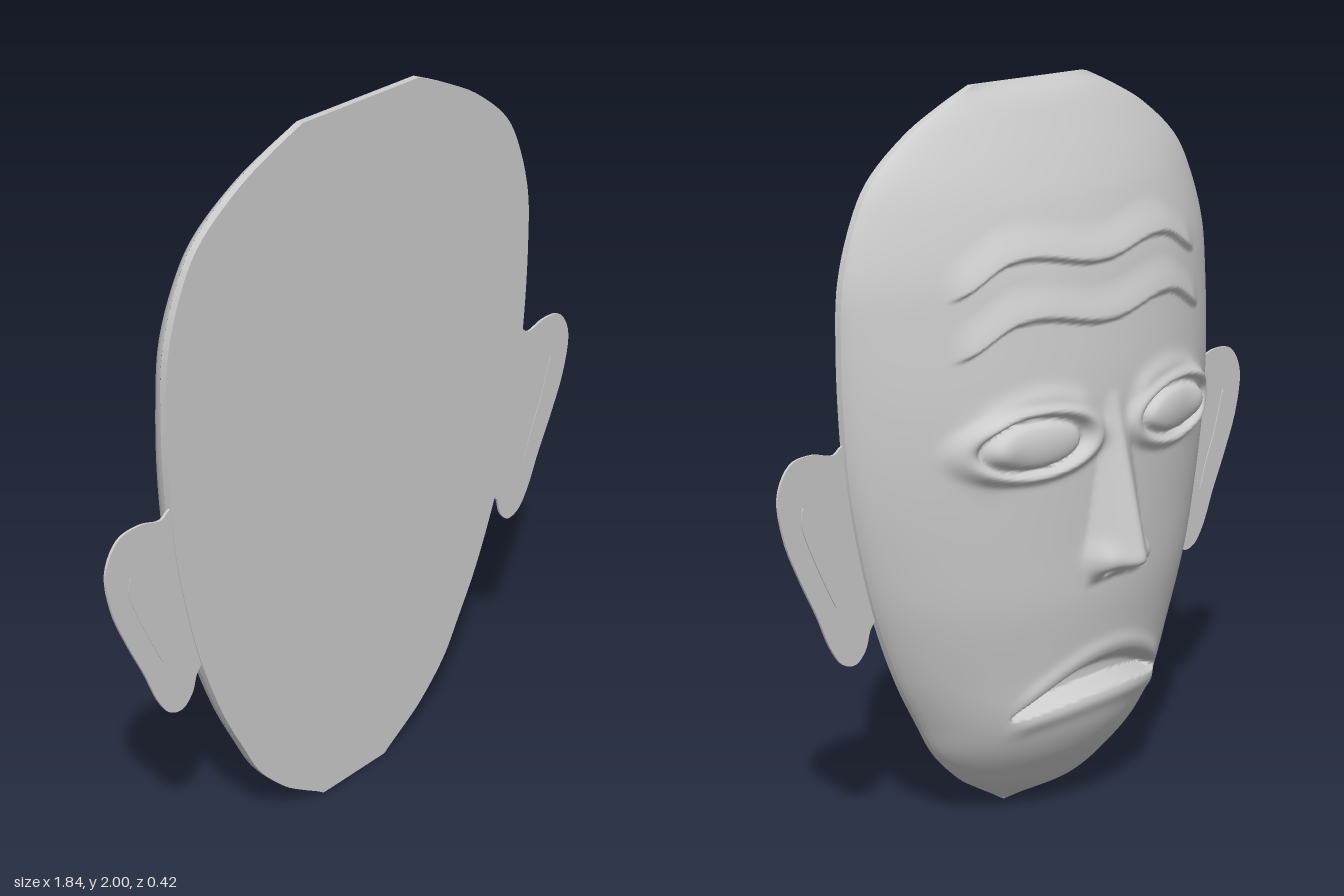
import * as THREE from 'three';

// Half width and centre-line z of the mask at each height: [y, halfWidth, z]
const PROFILE = [
  [0, 0.13, 0.19], [0.02, 0.16, 0.15], [0.05, 0.21, 0.1], [0.1, 0.285, 0.05], [0.2, 0.385, -0.03],
  [0.3, 0.445, -0.075], [0.45, 0.525, -0.085], [0.64, 0.6, -0.105], [0.8, 0.645, -0.107], [1, 0.685, -0.107],
  [1.2, 0.703, -0.102], [1.4, 0.706, -0.075], [1.55, 0.695, -0.048], [1.7, 0.645, 0.002], [1.8, 0.58, 0.05],
  [1.9, 0.445, 0.107], [1.96, 0.32, 0.147], [2, 0.22, 0.19],
];
const BACK = 0.21, RIM = 0.19;
const clamp = (v) => Math.min(1, Math.max(0, v));
const smooth = (a, b, v) => { const t = clamp((v - a) / (b - a)); return t * t * (3 - 2 * t); };
const bell = (v, width) => Math.exp(-((v / width) ** 2));

// Smooth interpolation of one profile column
function profile(y, col) {
  const P = PROFILE, n = P.length;
  let i = 0;
  while (i < n - 2 && y > P[i + 1][0]) i++;
  const slope = (k) => {
    const a = P[Math.max(0, k - 1)], b = P[Math.min(n - 1, k + 1)];
    return (b[col] - a[col]) / (b[0] - a[0]);
  };
  const h = P[i + 1][0] - P[i][0], t = (y - P[i][0]) / h, u = 1 - t;
  return P[i][col] * (1 + 2 * t) * u * u + slope(i) * h * t * u * u
    + P[i + 1][col] * t * t * (3 - 2 * t) - slope(i + 1) * h * t * t * u;
}

// Forehead fold: swells towards a wavy line, then steps back under it
function fold(ax, y, y0) {
  const line = y0 + 0.016 * Math.cos((ax - 0.25) * 13) - 0.05 * smooth(0.3, 0.5, ax);
  const d = y - line;
  return 0.018 * (1 - smooth(0.42, 0.5, ax)) * smooth(-0.008, 0.004, d) * (1 - smooth(0, 0.1, d));
}

// Eyeball, the groove round it, the lids and the brow
function eye(ax, y) {
  const dx = ax - 0.28, dy = y - 1.1;
  const r = Math.hypot(dx / 0.155, dy / 0.066);
  const ball = r < 1 ? 0.034 * Math.sqrt(1 - r * r) : 0;
  const lid = 0.024 * bell(r - 1.3, 0.22) - 0.016 * bell(r - 1, 0.11);
  const browLine = 1.215 - 1.6 * (ax - 0.25) ** 2;
  const brow = 0.014 * bell(y - browLine, 0.03) * smooth(0.05, 0.14, ax) * (1 - smooth(0.38, 0.48, ax));
  const outer = 0.025 * bell(dx - 0.13, 0.06) * bell(dy, 0.07);
  return ball + lid + brow + outer;
}

// Wedge nose with wings and nostrils
function nose(ax, y) {
  const t = clamp((1.2 - y) / 0.44);
  const half = 0.035 + 0.085 * t;
  const across = Math.max(0, 1 - Math.sqrt((ax / half) ** 2 + 0.012) * 0.995);
  const under = smooth(0.685, 0.75, y + 0.12 * ax);
  const wing = 0.022 * bell(ax - 0.085, 0.03) * bell(y - 0.755, 0.04);
  const nostril = 0.03 * bell(ax - 0.045, 0.018) * bell(y - 0.715, 0.014);
  return (0.118 * t * across + wing) * under - nostril;
}

// Down-turned mouth: a sunken crescent between two lips
function mouth(ax, y) {
  const q = ax / 0.3;
  const upper = 0.465 - 0.13 * q * q, lower = 0.365 - 0.045 * q * q;
  let h = 0;
  if (q < 1.05) {
    const fade = 1 - smooth(0.8, 1.05, q);
    h += fade * (0.012 * bell(y - lower + 0.025, 0.03) + 0.008 * bell(y - upper - 0.02, 0.025));
    if (y > lower && y < upper) {
      const v = (y - lower) / (upper - lower);
      h -= 0.065 * (1 - smooth(0.85, 1, q)) * smooth(0, 0.16, v) * (1 - smooth(0.45, 1, v));
    }
  }
  return h;
}

// Face surface: an arched cross-section at each height plus the features
function faceGeometry(rows, cols) {
  const pos = [], index = [];
  for (let i = 0; i <= rows; i++) {
    const t = i / rows;
    const y = 1 + 0.75 * (2 * t - 1) - 0.25 * Math.cos(Math.PI * t);
    const w = profile(y, 1), depth = Math.max(0, RIM - profile(y, 2));
    for (let j = 0; j <= cols; j++) {
      const p = 2 * j / cols - 1;
      const s = 0.55 * p + 0.45 * Math.sin(p * Math.PI / 2);
      const x = s * w, ax = Math.abs(x);
      const arch = Math.pow(Math.max(0, 1 - s * s), 0.7);
      const detail = fold(ax, y, 1.56) + fold(ax, y, 1.405) + eye(ax, y) + nose(ax, y) + mouth(ax, y);
      pos.push(x, y, RIM - depth * arch - detail * smooth(1, 0.88, Math.abs(s)));
    }
  }
  const n = cols + 1;
  for (let i = 0; i < rows; i++) {
    for (let j = 0; j < cols; j++) {
      const a = i * n + j;
      index.push(a, a + n, a + 1, a + 1, a + n, a + n + 1);
    }
  }
  const g = new THREE.BufferGeometry();
  g.setAttribute('position', new THREE.Float32BufferAttribute(pos, 3));
  g.setIndex(index);
  g.computeVertexNormals();
  return g;
}

// Flat back with the same outline as the face
function backGeometry() {
  const right = [], left = [];
  for (let i = 0; i <= 90; i++) {
    const y = 1 - Math.cos(Math.PI * i / 90);
    const w = profile(y, 1);
    right.push(new THREE.Vector2(w, y));
    left.unshift(new THREE.Vector2(-w, y));
  }
  const g = new THREE.ExtrudeGeometry(new THREE.Shape([...right, ...left]), { depth: BACK - RIM, bevelEnabled: false });
  return g.translate(0, 0, RIM);
}

// Thin plate from a smooth closed outline, mirrored for the other side
function plate(points, side, z, depth) {
  const pts = points.map(([x, y]) => new THREE.Vector3(x * side, y, 0));
  const curve = new THREE.CatmullRomCurve3(pts, true, 'centripetal');
  const shape = new THREE.Shape(curve.getPoints(80).map((p) => new THREE.Vector2(p.x, p.y)));
  return new THREE.ExtrudeGeometry(shape, { depth, bevelEnabled: false }).translate(0, 0, z);
}

const EAR = [
  [0.66, 1.14], [0.705, 1.13], [0.73, 1.115], [0.8, 1.13], [0.875, 1.12], [0.92, 1.05], [0.905, 0.93], [0.855, 0.81],
  [0.8, 0.7], [0.755, 0.6], [0.715, 0.55], [0.67, 0.54], [0.635, 0.57], [0.617, 0.62], [0.6, 0.64], [0.57, 0.66], [0.6, 0.9],
];
const EAR_FOLD = [[0.84, 1.0], [0.848, 0.96], [0.82, 0.88], [0.735, 0.71], [0.765, 0.8], [0.8, 0.88], [0.825, 0.96]];

export function createModel() {
  const grey = new THREE.MeshStandardMaterial({ color: 0xcccccc });
  grey.name = 'plain grey';
  const model = new THREE.Group();
  model.name = 'mask';
  const add = (name, geometry) => {
    const mesh = new THREE.Mesh(geometry, grey);
    mesh.name = name;
    model.add(mesh);
  };
  add('face', faceGeometry(300, 180));
  add('backPlate', backGeometry());
  for (const side of [1, -1]) {
    const label = side > 0 ? 'left' : 'right';
    add(label + 'Ear', plate(EAR, side, 0.2, 0.007));
    add(label + 'EarFold', plate(EAR_FOLD, side, 0.197, 0.0115));
  }
  return model;
}
